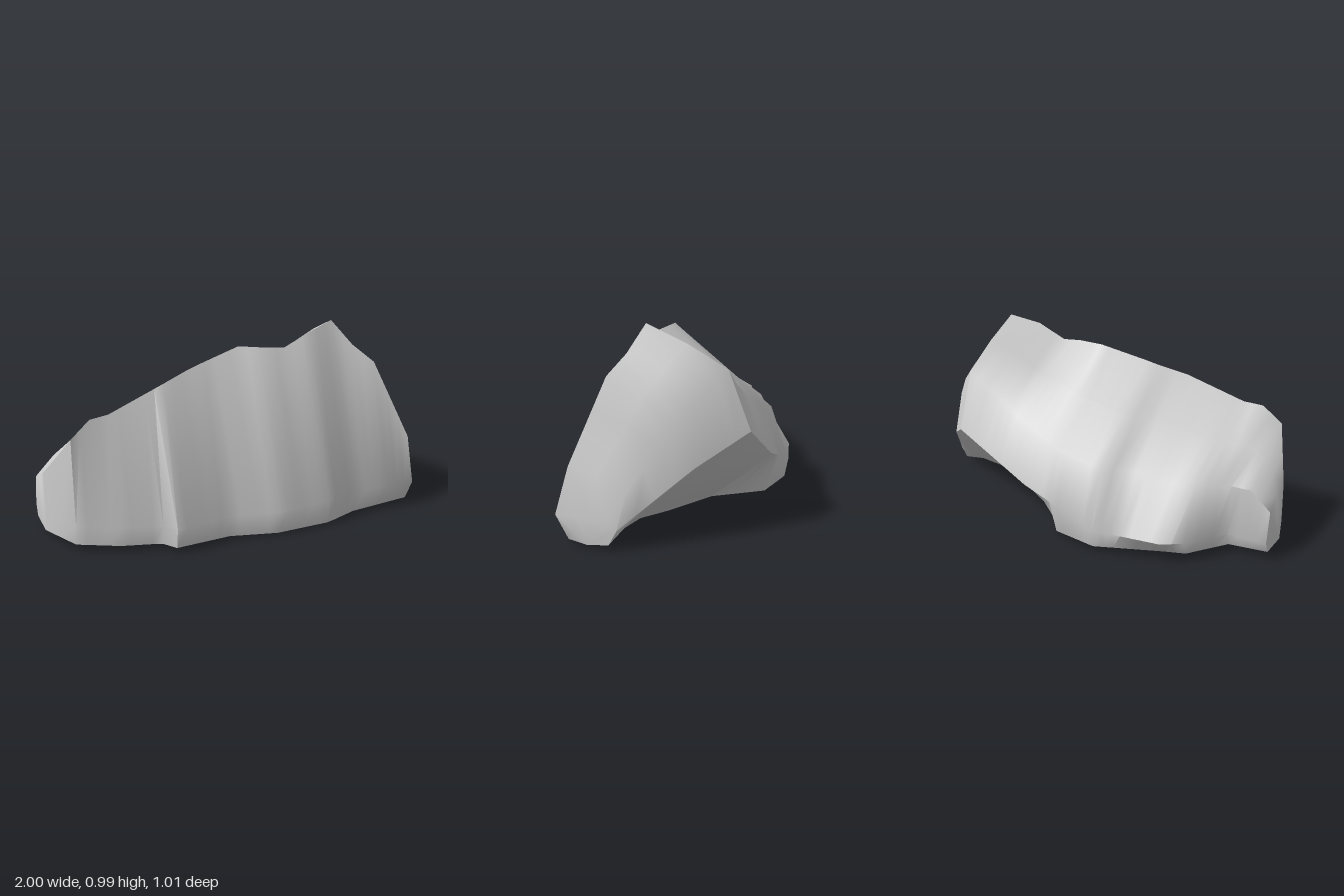
import * as THREE from 'three';
import { toCreasedNormals } from 'three/addons/utils/BufferGeometryUtils.js';

// Outlines of the rock, each a broken line of [x, value]
const frontZ = [[-1, 0.05], [-0.9, 0.28], [-0.7, 0.38], [-0.5, 0.43], [-0.45, 0.5], [-0.15, 0.45], [0.1, 0.49], [0.4, 0.45], [0.6, 0.39], [0.95, 0.38], [1, 0.27]];
const ridgeY = [[-1, 0.34], [-0.9, 0.57], [-0.8, 0.655], [-0.7, 0.665], [-0.4, 0.775], [-0.2, 0.835], [0.05, 0.9], [0.3, 0.88], [0.45, 0.95], [0.6, 0.99], [0.7, 0.86], [0.8, 0.77], [0.95, 0.37], [1, 0.14]];
const ridgeZ = [[-1, 0.04], [-0.9, 0.25], [-0.4, 0.17], [-0.25, 0.12], [0.05, 0.06], [0.2, 0.1], [0.45, 0.09], [0.6, 0.04], [0.8, 0.17], [0.95, 0.31], [1, 0.25]];
const shoulderY = [[-1, 0.26], [-0.9, 0.36], [-0.5, 0.38], [-0.2, 0.42], [0.05, 0.48], [0.35, 0.63], [0.6, 0.79], [0.7, 0.7], [0.8, 0.57], [0.95, 0.27], [1, 0.13]];
const shoulderZ = [[-1, -0.14], [-0.8, -0.16], [-0.65, -0.26], [-0.3, -0.33], [-0.2, -0.41], [0.05, -0.42], [0.45, -0.36], [0.6, -0.36], [0.8, -0.18], [1, 0.1]];
const backY = [[-1, 0.1], [-0.65, 0.11], [-0.2, 0.13], [0.2, 0.28], [0.6, 0.5], [0.8, 0.36], [1, 0.1]];
const backZ = [[-1, -0.17], [-0.8, -0.18], [-0.65, -0.38], [-0.55, -0.45], [-0.2, -0.51], [0.2, -0.49], [0.6, -0.47], [0.8, -0.25], [1, 0.06]];
const footZ = [[-1, -0.14], [-0.8, -0.16], [-0.65, -0.35], [-0.2, -0.49], [0.05, -0.43], [0.2, -0.18], [0.6, 0.08], [0.9, 0.13], [1, 0.1]];

// Value of an outline at x
function at(line, x) {
  const i = Math.max(1, line.findIndex(([px]) => px >= x - 1e-6));
  const [x0, v0] = line[i - 1], [x1, v1] = line[i];
  return THREE.MathUtils.mapLinear(x, x0, x1, v0, v1);
}

// Loop of [z, y]: front foot, front lip, ridge, mid top, back shoulder, back belly, back foot
function section(x) {
  const fz = at(frontZ, x);
  const ry = at(ridgeY, x), rz = at(ridgeZ, x);
  const sy = at(shoulderY, x), sz = at(shoulderZ, x);
  const floor = 0.03 * Math.min(1, Math.abs(x - 0.45));
  const bulge = 0.05 * Math.max(0, x) * (1 - x);
  const undercut = 0.015 + 0.09 * Math.max(0, x - 0.4);
  return [
    [fz - undercut, floor], [fz, Math.min(0.13, ry * 0.5)], [rz, ry],
    [(rz + sz) / 2, (ry + sy) / 2 + bulge], [sz, sy],
    [at(backZ, x), at(backY, x)], [at(footZ, x), floor + 0.01],
  ];
}

// Skin evenly spaced sections and close both ends with fans
function skin(steps) {
  const positions = [], index = [];
  const n = section(0).length;
  for (let i = 0; i <= steps; i++) {
    const x = -1 + 2 * i / steps;
    for (const [z, y] of section(x)) positions.push(x, y, z);
    for (let j = 0; i < steps && j < n; j++) {
      const a = i * n + j, d = i * n + (j + 1) % n;
      index.push(a, a + n, d + n, a, d + n, d);
    }
  }
  const last = steps * n;
  for (let j = 1; j < n - 1; j++) {
    index.push(0, j, j + 1, last, last + j + 1, last + j);
  }
  const geometry = new THREE.BufferGeometry();
  geometry.setAttribute('position', new THREE.Float32BufferAttribute(positions, 3));
  geometry.setIndex(index);
  return toCreasedNormals(geometry, 0.9);
}

export function createModel() {
  const group = new THREE.Group();
  group.name = 'rock';
  // Wedge-shaped boulder with a steep front, a sloping back and an undercut back corner
  const boulder = new THREE.Mesh(skin(40), new THREE.MeshStandardMaterial({ color: 0xcccccc }));
  boulder.name = 'boulder';
  group.add(boulder);
  return group;
}
